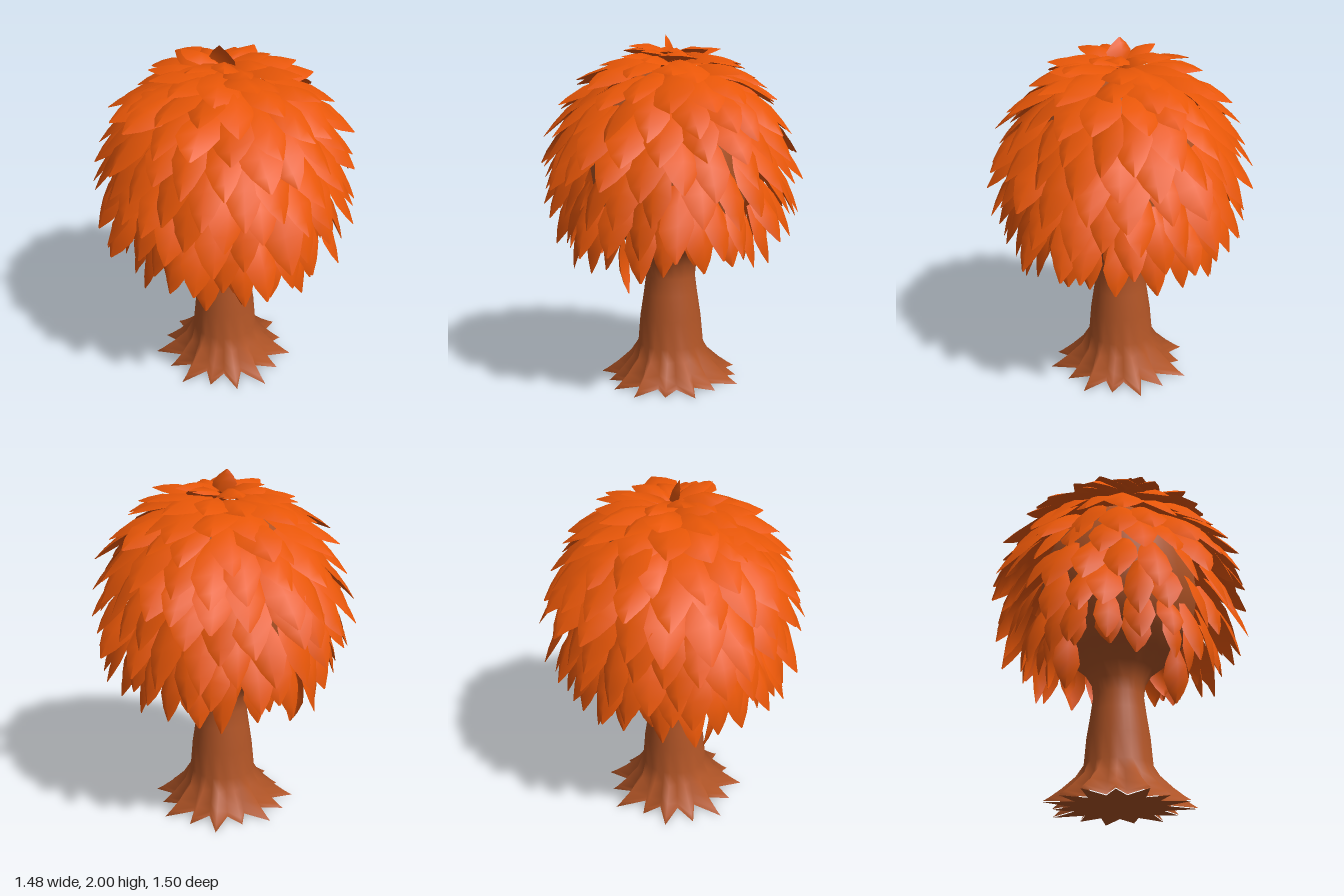
import * as THREE from 'three';
import { mergeGeometries, mergeVertices } from 'three/addons/utils/BufferGeometryUtils.js';

const leafOrange = new THREE.MeshStandardMaterial({ color: 0xe85607, side: THREE.DoubleSide });
const barkBrown = new THREE.MeshStandardMaterial({ color: 0xb05426 });

// Small seeded generator for natural variation
let seed = 11;
const rand = () => (seed = (seed * 16807) % 2147483647) / 2147483647;
const vary = (amount) => (rand() * 2 - 1) * amount;

// One pointed leaf from base to tip, folded along its midrib and arched outward
const OUTLINE = [[0, 0.35], [0.28, 0.82], [0.56, 1], [0.8, 0.6], [1, 0.06]];
function leaf(base, tip, side, width, arch = 0.035, fold = 0.035) {
  const along = tip.clone().sub(base);
  const out = side.clone().cross(along).normalize().negate();
  const pos = [], index = [];
  OUTLINE.forEach(([t, w], row) => {
    for (const u of [-1, 0, 1]) {
      const lift = arch * Math.sin(Math.PI * t) - fold * w * Math.abs(u);
      const p = base.clone().addScaledVector(along, t)
        .addScaledVector(side, u * w * width / 2).addScaledVector(out, lift);
      pos.push(p.x, p.y, p.z);
    }
    if (row === 0) return;
    for (let c = 0; c < 2; c++) {
      const a = (row - 1) * 3 + c, b = a + 3;
      index.push(a, b, a + 1, a + 1, b, b + 1);
    }
  });
  const geo = new THREE.BufferGeometry();
  geo.setAttribute('position', new THREE.Float32BufferAttribute(pos, 3));
  geo.setIndex(index);
  geo.computeVertexNormals();
  return geo;
}

// A ring of overlapping, slightly twisted leaves around the crown
function leafRing({ n, base: [rb, yb], tip: [rt, yt], w }, row) {
  const leaves = [];
  for (let i = 0; i < n; i++) {
    const a = ((i + (row % 2) * 0.5 + vary(0.16)) / n) * Math.PI * 2;
    const radial = new THREE.Vector3(Math.sin(a), 0, Math.cos(a));
    const side = new THREE.Vector3(Math.cos(a), vary(0.25), -Math.sin(a))
      .addScaledVector(radial, vary(0.4)).normalize();
    const base = radial.clone().multiplyScalar(rb).setY(yb + vary(0.02));
    const tip = radial.clone().multiplyScalar(rt + vary(0.03)).setY(yt + vary(0.04))
      .addScaledVector(side, vary(0.04));
    leaves.push(leaf(base, tip, side, w * (1 + vary(0.12))));
  }
  return mergeGeometries(leaves);
}

// Crown rows from top to bottom: base and tip as [radius, height]
const ROWS = [
  { n: 9, base: [0.0, 1.87], tip: [0.26, 1.91], w: 0.18 },
  { n: 12, base: [0.08, 1.86], tip: [0.41, 1.84], w: 0.22 },
  { n: 15, base: [0.18, 1.84], tip: [0.53, 1.74], w: 0.23 },
  { n: 18, base: [0.28, 1.79], tip: [0.62, 1.61], w: 0.23 },
  { n: 20, base: [0.37, 1.72], tip: [0.69, 1.46], w: 0.22 },
  { n: 21, base: [0.44, 1.62], tip: [0.725, 1.31], w: 0.22 },
  { n: 22, base: [0.49, 1.5], tip: [0.735, 1.17], w: 0.21 },
  { n: 22, base: [0.52, 1.36], tip: [0.72, 1.01], w: 0.2 },
  { n: 22, base: [0.52, 1.2], tip: [0.67, 0.86], w: 0.18 },
  { n: 20, base: [0.48, 1.07], tip: [0.57, 0.73], w: 0.16 },
  { n: 14, base: [0.41, 1.02], tip: [0.45, 0.74], w: 0.15 },
];

// Trunk profile [radius, height], swelling into the branch mass inside the crown
const PROFILE = [
  [0.255, 0.005], [0.245, 0.03], [0.23, 0.08], [0.207, 0.15], [0.19, 0.22], [0.177, 0.38],
  [0.156, 0.52], [0.143, 0.62], [0.152, 0.7], [0.19, 0.78], [0.27, 0.86], [0.36, 0.94],
  [0.43, 1.06], [0.46, 1.25], [0.44, 1.45], [0.36, 1.62], [0.2, 1.77], [0, 1.83],
];
const ROOTS = [1, 0.7, 0.9, 0.65, 0.95, 0.75, 1, 0.6, 0.9, 0.8, 1, 0.7, 0.95, 0.65, 0.85];

// Pull every second side outward: pointed roots below, shallow branch ridges above
function spread(geo) {
  const p = geo.attributes.position, sides = ROOTS.length * 2;
  for (let i = 0; i < p.count; i++) {
    const x = p.getX(i), y = p.getY(i), z = p.getZ(i), r = Math.hypot(x, z);
    if (r < 1e-4) continue;
    const k = (Math.round(Math.atan2(x, z) / (Math.PI * 2) * sides) + sides) % sides;
    let grow = 0;
    if (k % 2 === 0) {
      grow = 0.18 * ROOTS[k / 2] * Math.max(0, 1 - y / 0.24) ** 1.7;
      grow += 0.025 * Math.max(0, 1 - Math.abs(y - 0.87) / 0.15);
    }
    p.setX(i, x * (r + grow) / r);
    p.setZ(i, z * (r + grow) / r);
  }
  return geo;
}

export function createModel() {
  const tree = new THREE.Group();
  tree.name = 'tree';
  const add = (name, geo, material) => {
    const mesh = new THREE.Mesh(geo, material);
    mesh.name = name;
    tree.add(mesh);
  };

  // Trunk with flared roots, welded for smooth shading
  const sides = ROOTS.length * 2;
  let trunk = new THREE.LatheGeometry(PROFILE.map(([r, y]) => new THREE.Vector2(r, y)), sides);
  trunk.deleteAttribute('uv');
  trunk.deleteAttribute('normal');
  trunk = spread(mergeVertices(trunk, 1e-4));
  trunk.computeVertexNormals();
  add('trunk', trunk, barkBrown);

  // Star-shaped underside
  const sole = new THREE.CircleGeometry(PROFILE[0][0], sides, Math.PI / 2);
  sole.rotateX(Math.PI / 2).translate(0, PROFILE[0][1], 0);
  add('rootUnderside', spread(sole).translate(0, -PROFILE[0][1], 0), barkBrown);

  // Crown
  ROWS.forEach((row, i) => add(`leafRow${i + 1}`, leafRing(row, i), leafOrange));

  // Upright leaf at the very top
  const v = (x, y, z) => new THREE.Vector3(x, y, z);
  add('topLeaf', leaf(v(0.03, 1.85, 0), v(-0.03, 2, 0), v(0.4, 0, 0.92), 0.16, 0.015), leafOrange);

  // Two loose leaves hanging beside the trunk
  const hanging = [[-0.1, 0.31], [-0.28, -0.3]].map(([x, z]) =>
    leaf(v(x - 0.05, 0.87, z), v(x, 0.56, z), v(0.2, 0, 0.98), 0.15));
  add('hangingLeaves', mergeGeometries(hanging), leafOrange);

  return tree;
}
